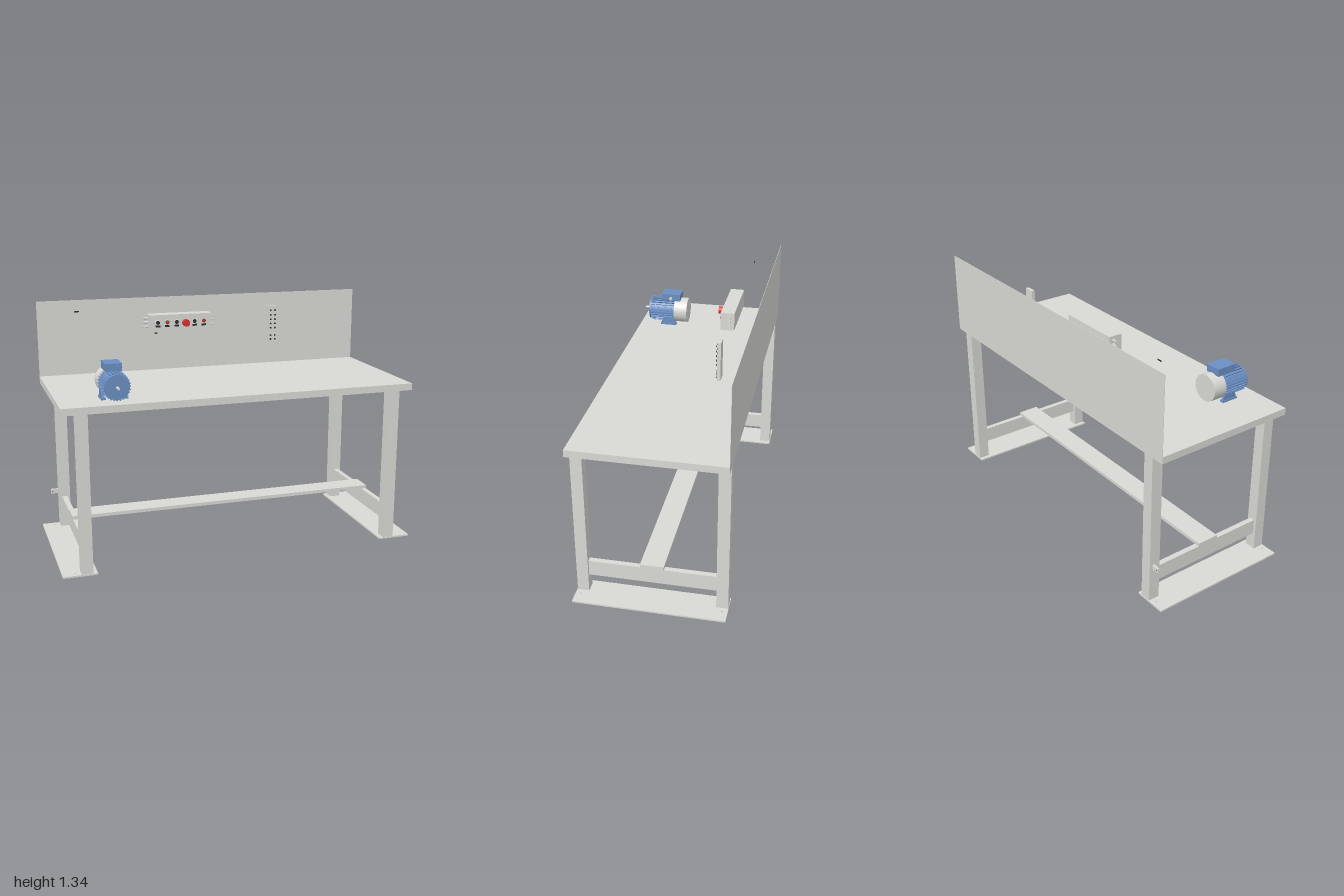
import * as THREE from 'three';

const mat = (name, color) => {
  const m = new THREE.MeshStandardMaterial({ color });
  m.name = name;
  return m;
};

export function createModel() {
  const grey = mat('light grey', 0xd9d9d5);
  const blue = mat('motor blue', 0x6b8fc3);
  const red = mat('button red', 0xd83434);
  const black = mat('black', 0x2c2c2e);
  const white = mat('white', 0xf0f0ee);

  const model = new THREE.Group();
  model.name = 'workbench';
  const group = (name) => {
    const g = new THREE.Group();
    g.name = name;
    model.add(g);
    return g;
  };
  const add = (parent, name, geo, material) => {
    const m = new THREE.Mesh(geo, material);
    m.name = name;
    parent.add(m);
    return m;
  };
  // Box given by its limits on each axis
  const box = (parent, name, material, x0, x1, y0, y1, z0, z1) => {
    const m = add(parent, name, new THREE.BoxGeometry(x1 - x0, y1 - y0, z1 - z0), material);
    m.position.set((x0 + x1) / 2, (y0 + y1) / 2, (z0 + z1) / 2);
    return m;
  };
  // Cylinder lying along an axis, centred at x, y, z
  const rod = (parent, name, material, axis, r, len, x, y, z, sides = 24) => {
    const geo = new THREE.CylinderGeometry(r, r, len, sides);
    if (axis === 'z') geo.rotateX(Math.PI / 2);
    if (axis === 'x') geo.rotateZ(-Math.PI / 2);
    const m = add(parent, name, geo, material);
    m.position.set(x, y, z);
    return m;
  };

  // Folded sheet bench top, open underneath, and back panel
  const bench = group('bench');
  const t = 0.003;
  box(bench, 'tableTop', grey, -0.975, 0.975, 0.907 - t, 0.907, -0.403, 0.405);
  box(bench, 'frontSkirt', grey, -0.975, 0.975, 0.869, 0.907 - t, 0.405 - t, 0.405);
  box(bench, 'leftSkirt', grey, 0.975 - t, 0.975, 0.869, 0.907 - t, -0.403, 0.405 - t);
  box(bench, 'rightSkirt', grey, -0.975, -0.975 + t, 0.869, 0.907 - t, -0.403, 0.405 - t);
  box(bench, 'backPanel', grey, -0.975, 0.975, 0.869, 1.337, -0.405, -0.403);

  // Leg frames, one at each end
  for (const s of [-1, 1]) {
    const end = s < 0 ? 'right' : 'left';
    const span = (name, a, b, ...rest) =>
      box(bench, end + name, grey, Math.min(s * a, s * b), Math.max(s * a, s * b), ...rest);
    span('FrontLeg', 0.839, 0.901, 0.009, 0.907 - t, 0.34, 0.405 - t);
    span('BackLeg', 0.839, 0.901, 0.009, 0.907 - t, -0.403, -0.34);
    span('SideRail', 0.856, 0.886, 0.104, 0.192, -0.342, 0.342);

    // Foot plate with anchor holes
    const plate = new THREE.Shape();
    plate.moveTo(0.815, -0.405).lineTo(1, -0.405).lineTo(1, 0.405).lineTo(0.815, 0.405).closePath();
    for (const z of [-0.375, 0.375]) {
      plate.holes.push(new THREE.Path().absarc(0.93, z, 0.005, 0, Math.PI * 2, true));
    }
    const foot = new THREE.ExtrudeGeometry(plate, { depth: 0.009, bevelEnabled: false, curveSegments: 8 });
    foot.rotateX(-Math.PI / 2);
    if (s < 0) foot.rotateY(Math.PI);
    add(bench, end + 'FootPlate', foot, grey);
  }
  box(bench, 'footShelf', grey, -0.888, 0.888, 0.192, 0.211, -0.062, 0.064);

  // Small earthing lug on the back leg
  box(bench, 'legLug', grey, -0.945, -0.901, 0.204, 0.23, -0.387, -0.375);
  rod(bench, 'lugBolt', black, 'z', 0.003, 0.014, -0.935, 0.217, -0.381, 10);

  // Electric motor
  const motor = group('motor');
  const mx = -0.675, my = 0.985;
  rod(motor, 'motorCore', blue, 'z', 0.065, 0.15, mx, my, 0.275, 40);
  rod(motor, 'frontShield', blue, 'z', 0.066, 0.012, mx, my, 0.349, 40);
  rod(motor, 'shaft', grey, 'z', 0.007, 0.036, mx, my, 0.371, 16);
  rod(motor, 'fanCover', grey, 'z', 0.074, 0.08, mx, my, 0.16, 48);
  const finCount = 28;
  for (let i = 0; i < finCount; i++) {
    const a = (i / finCount) * Math.PI * 2;
    const fin = add(motor, 'coolingFin', new THREE.BoxGeometry(0.012, 0.004, 0.145), blue);
    fin.position.set(mx + Math.cos(a) * 0.068, my + Math.sin(a) * 0.068, 0.272);
    fin.rotation.z = a;
  }
  box(motor, 'terminalBox', blue, -0.72, -0.633, 1.053, 1.091, 0.165, 0.278);
  box(motor, 'terminalLid', blue, -0.721, -0.632, 1.091, 1.095, 0.163, 0.28);
  rod(motor, 'cableGland', grey, 'x', 0.009, 0.014, -0.627, 1.07, 0.222, 16);
  // Feet: tapered webs on flat pads
  for (const s of [-1, 1]) {
    const x = mx + s * 0.059;
    box(motor, 'footPad', blue, x - 0.012, x + 0.012, 0.907, 0.916, 0.185, 0.281);
    const web = new THREE.Shape();
    web.moveTo(-0.046, 0).lineTo(0.046, 0).lineTo(0.034, 0.034).lineTo(-0.034, 0.034).closePath();
    const geo = new THREE.ExtrudeGeometry(web, { depth: 0.014, bevelEnabled: false });
    geo.rotateY(Math.PI / 2);
    add(motor, 'footWeb', geo, blue).position.set(x - 0.007, 0.914, 0.233);
  }

  // Control box
  const control = group('controlBox');
  box(control, 'housing', grey, -0.371, -0.009, 1.164, 1.262, -0.264, -0.188);
  rod(control, 'stopCollar', black, 'z', 0.015, 0.008, -0.165, 1.214, -0.185, 20);
  rod(control, 'stopButton', red, 'z', 0.02, 0.027, -0.165, 1.214, -0.168, 28);
  for (const [x, m] of [[-0.325, black], [-0.27, red], [-0.215, black], [-0.11, black], [-0.055, red]]) {
    box(control, 'labelPlate', white, x - 0.013, x + 0.013, 1.206, 1.234, -0.188, -0.186);
    box(control, 'labelBar', black, x - 0.013, x + 0.013, 1.192, 1.203, -0.188, -0.186);
    rod(control, 'switchRing', black, 'z', 0.011, 0.003, x, 1.219, -0.185, 18);
    rod(control, 'switchButton', m, 'z', 0.009, 0.005, x, 1.219, -0.183, 18);
  }
  // Cable glands on both ends and below
  for (const s of [-1, 1]) {
    for (const y of [1.191, 1.216, 1.239]) {
      rod(control, 'glandNut', grey, 'x', 0.008, 0.014, -0.19 + s * 0.188, y, -0.24, 6);
      rod(control, 'glandTip', grey, 'x', 0.005, 0.014, -0.19 + s * 0.2, y, -0.24, 12);
    }
  }
  rod(control, 'bottomGland', black, 'y', 0.008, 0.014, -0.326, 1.157, -0.236, 12);

  // Terminal strip: plate with two columns of terminals
  const strip = group('terminalStrip');
  box(strip, 'stripPlate', grey, 0.353, 0.416, 1.067, 1.277, -0.262, -0.244);
  for (const y of [1.081, 1.104, 1.148, 1.174, 1.199, 1.225, 1.253]) {
    for (const x of [0.373, 0.4]) {
      rod(strip, 'terminalSeat', grey, 'z', 0.007, 0.005, x, y, -0.243, 12);
      rod(strip, 'terminalPin', black, 'z', 0.005, 0.01, x, y, -0.241, 10);
    }
  }

  // Small wall hook
  const hook = group('hook');
  box(hook, 'hookBar', black, -0.784, -0.757, 1.287, 1.293, -0.27, -0.267);

  return model;
}
